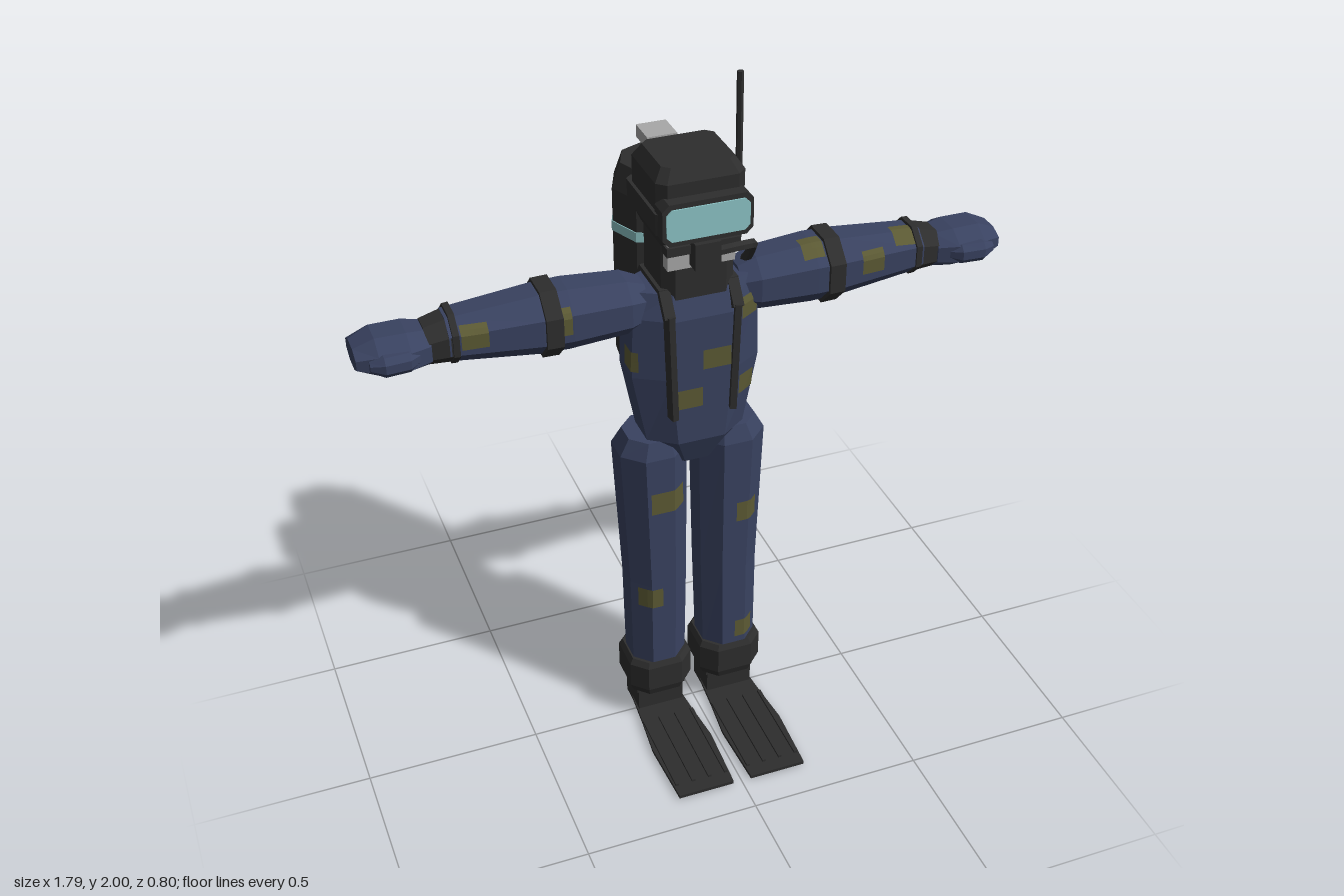
import * as THREE from 'three';

const mat = (name, color, side = THREE.FrontSide) => {
  const m = new THREE.MeshStandardMaterial({ color, flatShading: true, side });
  m.name = name;
  return m;
};

export function createModel() {
  const navy = mat('navySuit', 0x394260);
  const black = mat('blackRubber', 0x2d2d2d);
  const teal = mat('tealGlass', 0x8cc4c6);
  const grey = mat('greyMetal', 0xa8a8a8);
  const olive = mat('olivePatch', 0x5c5a34, THREE.DoubleSide);
  const root = new THREE.Group();
  root.name = 'diver';

  const add = (name, geo, material, x = 0, y = 0, z = 0) => {
    const m = new THREE.Mesh(geo, material);
    m.name = name;
    m.position.set(x, y, z);
    m.updateMatrixWorld();
    root.add(m);
    return m;
  };
  const box = (name, material, x0, x1, y0, y1, z0, z1) =>
    add(name, new THREE.BoxGeometry(x1 - x0, y1 - y0, z1 - z0), material, (x0 + x1) / 2, (y0 + y1) / 2, (z0 + z1) / 2);

  // Eight-sided loft up the y axis; section = [y, centreX, centreZ, halfX, halfZ], k = flat share of each side
  const loft = (sections, k = 0.43) => {
    const ring = [[1, k], [k, 1], [-k, 1], [-1, k], [-1, -k], [-k, -1], [k, -1], [1, -k]];
    const pos = [], idx = [], n = sections.length;
    for (const [y, cx, cz, hx, hz] of sections)
      for (const [a, b] of ring) pos.push(cx + a * hx, y, cz + b * hz);
    for (let s = 0; s < n - 1; s++)
      for (let i = 0; i < 8; i++) {
        const j = (i + 1) % 8, l = s * 8, u = l + 8;
        idx.push(l + i, u + i, l + j, l + j, u + i, u + j);
      }
    for (const s of [0, n - 1]) {
      const [y, cx, cz] = sections[s], c = pos.length / 3;
      pos.push(cx, y, cz);
      for (let i = 0; i < 8; i++) {
        const a = s * 8 + i, b = s * 8 + (i + 1) % 8;
        idx.push(c, s ? b : a, s ? a : b);
      }
    }
    const g = new THREE.BufferGeometry();
    g.setAttribute('position', new THREE.Float32BufferAttribute(pos, 3));
    g.setIndex(idx);
    const flat = g.toNonIndexed();
    flat.computeVertexNormals();
    return flat;
  };

  // Thin patch laid on a mesh by projecting a rectangle along an axis
  const patch = (mesh, dir, a0, a1, b0, b1) => {
    const N = 6, pts = [], idx = [], ray = new THREE.Raycaster();
    for (let i = 0; i <= N; i++)
      for (let j = 0; j <= N; j++) {
        const a = a0 + (a1 - a0) * i / N, b = b0 + (b1 - b0) * j / N;
        const o = dir.z ? new THREE.Vector3(a, b, 0) : dir.x ? new THREE.Vector3(0, b, a) : new THREE.Vector3(a, 0, b);
        ray.set(o.addScaledVector(dir, 3), dir.clone().negate());
        const hit = ray.intersectObject(mesh)[0];
        pts.push(hit ? hit.point.clone().addScaledVector(hit.face.normal, 0.003) : null);
      }
    for (let i = 0; i < N; i++)
      for (let j = 0; j < N; j++) {
        const p = i * (N + 1) + j, q = p + N + 1;
        for (const t of [[p, q, q + 1], [p, q + 1, p + 1]])
          if (t.every((v) => pts[v])) idx.push(...t);
      }
    const g = new THREE.BufferGeometry();
    g.setAttribute('position', new THREE.Float32BufferAttribute(pts.flatMap((p) => (p ? p.toArray() : [0, 1, 0])), 3));
    g.setIndex(idx);
    g.computeVertexNormals();
    add('suitPatch', g, olive);
  };
  const F = new THREE.Vector3(0, 0, 1), T = new THREE.Vector3(0, 1, 0);
  const L = new THREE.Vector3(1, 0, 0), R = new THREE.Vector3(-1, 0, 0);

  // Torso
  const torso = add('torso', loft([
    [0.9, 0, -0.03, 0.07, 0.06], [0.99, 0, -0.03, 0.14, 0.1], [1.2, 0, -0.03, 0.18, 0.105],
    [1.38, 0, -0.03, 0.175, 0.108], [1.45, 0, -0.03, 0.155, 0.085],
  ], 0.48), navy);
  patch(torso, F, 0, 0.08, 1.22, 1.28);
  patch(torso, F, -0.085, 0, 1.105, 1.165);
  patch(torso, F, 0.11, 0.16, 1.105, 1.165);
  patch(torso, F, 0.115, 0.17, 1.34, 1.4);
  patch(torso, L, -0.095, -0.03, 1.22, 1.28);
  patch(torso, R, -0.03, 0.03, 1.22, 1.28);

  const legs = {}, arms = {};
  for (const s of [1, -1]) {
    // Legs, boots and fins
    legs[s] = add('leg', loft([
      [0.18, s * 0.11, -0.025, 0.08, 0.08], [0.5, s * 0.108, -0.03, 0.085, 0.084],
      [0.94, s * 0.115, -0.038, 0.097, 0.094], [0.99, s * 0.11, -0.035, 0.075, 0.075],
    ]), navy);
    add('bootCuff', loft([
      [0.095, s * 0.11, -0.03, 0.085, 0.085], [0.12, s * 0.11, -0.03, 0.095, 0.094],
      [0.2, s * 0.11, -0.03, 0.095, 0.094], [0.217, s * 0.11, -0.03, 0.085, 0.085],
    ], 0.55), black);
    box('foot', black, s * 0.11 - 0.07, s * 0.11 + 0.07, 0, 0.11, -0.09, 0.02);
    box('heelStrap', black, s * 0.11 - 0.075, s * 0.11 + 0.075, 0.08, 0.095, -0.118, 0.022);
    const outline = [[-0.07, -0.05], [0.07, -0.05], [0.08, 0.08], [0.092, 0.2], [0.083, 0.4], [-0.083, 0.4], [-0.092, 0.2], [-0.08, 0.08]];
    const fin = new THREE.ExtrudeGeometry(new THREE.Shape(outline.map((p) => new THREE.Vector2(...p))), { depth: 0.01, bevelEnabled: false });
    add('fin', fin.rotateX(Math.PI / 2), black, s * 0.11, 0.014, 0);
    for (const x of [-0.075, -0.025, 0.025, 0.075])
      box('finRib', black, s * 0.11 + x - 0.005, s * 0.11 + x + 0.005, 0.01, 0.021, 0.08, 0.36);

    // Arms, lofted outward along x; section = [x, y, z, halfY, halfZ]
    const limb = (name, sections, material, k) => add(name, loft(
      sections.map(([x, y, z, hy, hz]) => [x, -s * y, z, hy, hz]), k).rotateZ(-s * Math.PI / 2), material);
    arms[s] = limb('arm', [
      [0.13, 1.4, -0.035, 0.06, 0.06], [0.18, 1.402, -0.037, 0.078, 0.08], [0.34, 1.404, -0.037, 0.088, 0.088],
      [0.42, 1.404, -0.037, 0.086, 0.086], [0.66, 1.408, -0.036, 0.063, 0.067],
    ], navy);
    limb('elbowBand', [[0.37, 1.404, -0.037, 0.097, 0.097], [0.415, 1.404, -0.037, 0.096, 0.096]], black);
    limb('wristRing', [[0.635, 1.41, -0.036, 0.072, 0.074], [0.652, 1.41, -0.036, 0.071, 0.073]], black);
    limb('wristCuff', [[0.65, 1.407, -0.036, 0.064, 0.068], [0.715, 1.4, -0.036, 0.054, 0.06]], black);
    limb('hand', [
      [0.705, 1.398, -0.035, 0.05, 0.064], [0.76, 1.4, -0.036, 0.056, 0.086],
      [0.84, 1.4, -0.04, 0.054, 0.083], [0.895, 1.4, -0.04, 0.03, 0.062],
    ], navy);
    limb('thumb', [
      [0.72, 1.4, 0.01, 0.015, 0.018], [0.765, 1.4, 0.038, 0.028, 0.026],
      [0.83, 1.4, 0.044, 0.028, 0.024], [0.865, 1.4, 0.035, 0.014, 0.014],
    ], navy);

    // Harness: front strap, shoulder strap and back strap
    const run = [[0.085, 1.09, 0.078], [0.095, 1.4, 0.08], [0.095, 1.455, 0.04], [0.095, 1.455, -0.1], [0.095, 1.4, -0.14], [0.095, 1.09, -0.138]];
    for (let i = 0; i < run.length - 1; i++) {
      const a = new THREE.Vector3(...run[i]), b = new THREE.Vector3(...run[i + 1]);
      a.x *= s; b.x *= s;
      const strap = add('harnessStrap', new THREE.BoxGeometry(0.03, 0.018, a.distanceTo(b) + 0.012), black);
      strap.position.copy(a).add(b).multiplyScalar(0.5);
      strap.lookAt(b);
    }
  }
  patch(legs[-1], F, -0.11 - 0.033, -0.04, 0.76, 0.83);
  patch(legs[-1], F, -0.175, -0.112, 0.425, 0.49);
  patch(legs[1], F, 0.112, 0.175, 0.67, 0.735);
  patch(legs[1], F, 0.112, 0.17, 0.24, 0.3);
  patch(arms[-1], F, -0.63, -0.56, 1.395, 1.455);
  patch(arms[-1], F, -0.37, -0.345, 1.39, 1.46);
  patch(arms[1], F, 0.47, 0.535, 1.395, 1.455);
  patch(arms[1], T, 0.305, 0.365, -0.03, 0.03);
  patch(arms[1], T, 0.575, 0.634, -0.03, 0.025);

  // Neck, hood and face
  add('neck', loft([[1.42, 0, -0.03, 0.1, 0.09], [1.62, 0, -0.03, 0.1, 0.09]], 0.7), black);
  add('hood', loft([
    [1.59, 0, -0.033, 0.1, 0.1], [1.63, 0, -0.033, 0.118, 0.108],
    [1.775, 0, -0.033, 0.12, 0.11], [1.81, 0, -0.033, 0.098, 0.088],
  ], 0.8), black);
  box('facePlate', grey, -0.095, 0.09, 1.53, 1.625, 0.03, 0.07);

  // Mask with glass and head strap
  const roundRect = (w, h, c, depth) => new THREE.ExtrudeGeometry(new THREE.Shape([
    [w - c, -h], [w, c - h], [w, h - c], [w - c, h], [c - w, h], [-w, h - c], [-w, c - h], [c - w, -h],
  ].map((p) => new THREE.Vector2(...p))), { depth, bevelEnabled: false });
  add('maskFrame', roundRect(0.122, 0.058, 0.018, 0.055), black, 0, 1.68, 0.055);
  add('maskGlass', roundRect(0.112, 0.044, 0.014, 0.006), teal, 0, 1.68, 0.108);
  add('maskStrap', loft([[1.64, 0, -0.035, 0.126, 0.12], [1.7, 0, -0.035, 0.128, 0.122]], 0.88), black);

  // Breathing regulator, hose and snorkel
  box('regulator', black, -0.035, 0.035, 1.54, 1.615, 0.05, 0.112);
  box('mouthStrap', black, -0.1, 0.1, 1.575, 1.6, 0.04, 0.08);
  const hose = new THREE.CatmullRomCurve3([
    [0.02, 1.575, 0.09], [0.12, 1.57, 0.075], [0.155, 1.54, 0.03], [0.16, 1.45, -0.05],
    [0.15, 1.42, -0.13], [0.13, 1.46, -0.2], [0.06, 1.5, -0.24],
  ].map((p) => new THREE.Vector3(...p)));
  add('airHose', new THREE.TubeGeometry(hose, 20, 0.014, 6), black);
  add('snorkel', new THREE.CylinderGeometry(0.009, 0.009, 0.5, 6), black, 0.136, 1.75, -0.025);

  // Air tank with bands and valve
  const tankProfile = [[0, 1.04], [0.102, 1.04], [0.125, 1.12], [0.125, 1.61], [0.1, 1.68], [0, 1.68]];
  add('airTank', new THREE.LatheGeometry(tankProfile.map((p) => new THREE.Vector2(...p)), 8), black, 0, 0, -0.272);
  for (const y of [1.24, 1.5])
    add('tankBand', new THREE.CylinderGeometry(0.128, 0.128, 0.028, 8), teal, 0, y, -0.272);
  add('tankNeck', new THREE.CylinderGeometry(0.028, 0.028, 0.06, 8), black, 0, 1.705, -0.265);
  box('tankValve', grey, -0.042, 0.042, 1.73, 1.765, -0.307, -0.22);
  box('tankMount', black, -0.07, 0.07, 1.12, 1.42, -0.19, -0.12);

  return root;
}
